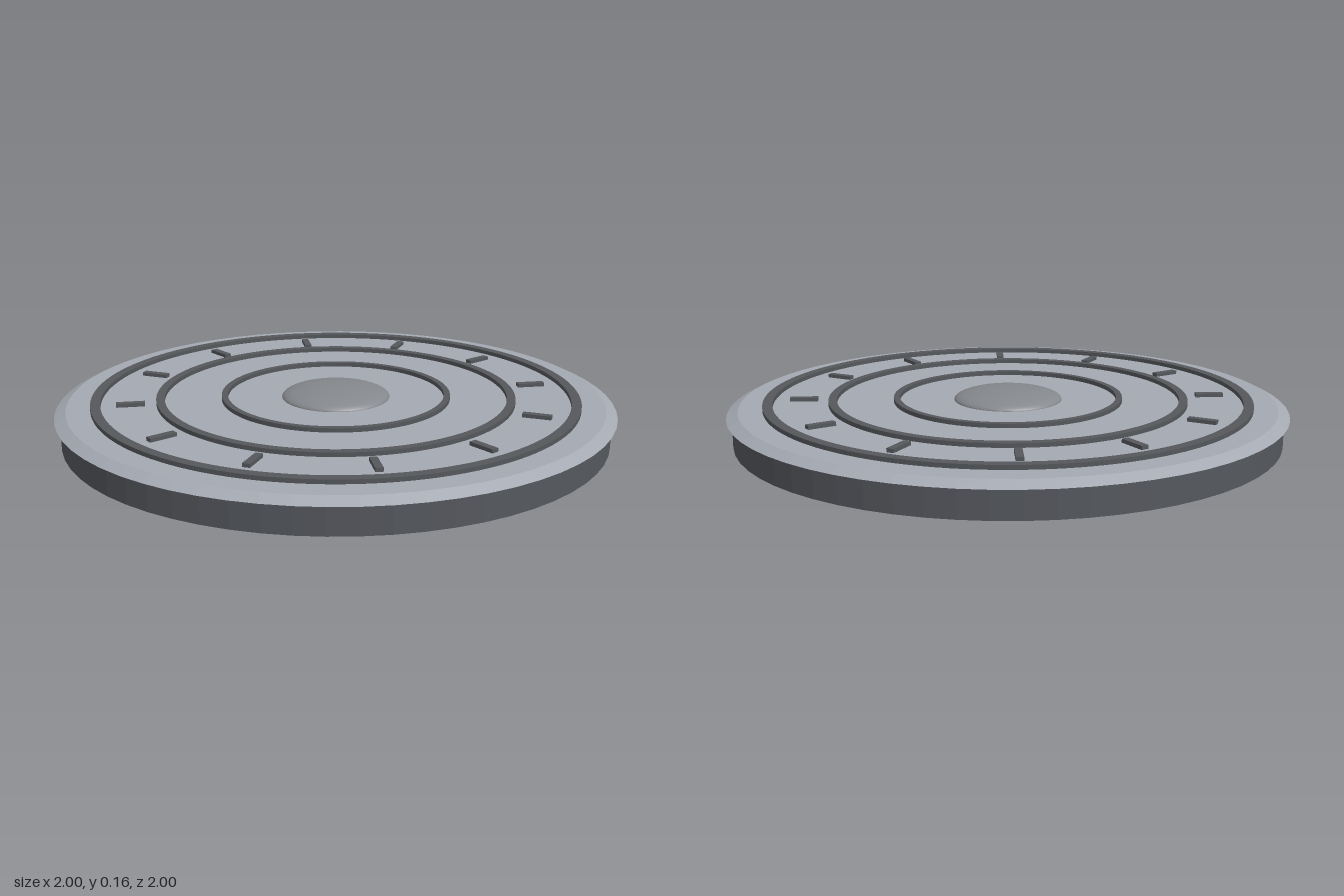
import * as THREE from 'three';

const SEG = 64;

export function createModel() {
  const model = new THREE.Group();
  model.name = 'roundPlatform';

  const dark = new THREE.MeshStandardMaterial({ color: 0x55585e, flatShading: true });
  const light = new THREE.MeshStandardMaterial({ color: 0xa4a9b2, flatShading: true });
  const trim = new THREE.MeshStandardMaterial({ color: 0x55585c });
  const domeGrey = new THREE.MeshStandardMaterial({ color: 0x85888c });

  const add = (name, geometry, material, parent = model) => {
    const mesh = new THREE.Mesh(geometry, material);
    mesh.name = name;
    parent.add(mesh);
    return mesh;
  };

  // Drum-shaped base
  add('base', new THREE.CylinderGeometry(0.98, 0.98, 0.1, SEG), dark).position.y = 0.05;

  // Bevelled top plate, slightly overhanging the base
  add('topPlate', new THREE.CylinderGeometry(0.96, 1, 0.02, SEG), light).position.y = 0.11;

  // Raised flat rings
  const ring = (name, inner, outer) => {
    const shape = new THREE.Shape().absarc(0, 0, outer, 0, Math.PI * 2, false);
    shape.holes.push(new THREE.Path().absarc(0, 0, inner, 0, Math.PI * 2, true));
    const geometry = new THREE.ExtrudeGeometry(shape, {
      depth: 0.02, bevelEnabled: false, curveSegments: SEG,
    });
    geometry.rotateX(-Math.PI / 2);
    add(name, geometry, trim).position.y = 0.115;
  };
  ring('outerRing', 0.84, 0.875);
  ring('middleRing', 0.615, 0.645);
  ring('innerRing', 0.39, 0.412);

  // Twelve radial markers between the outer and middle rings
  const markers = new THREE.Group();
  markers.name = 'markers';
  model.add(markers);
  for (let i = 0; i < 12; i++) {
    const angle = (i * Math.PI) / 6;
    const marker = add('marker', new THREE.BoxGeometry(0.1, 0.02, 0.026), trim, markers);
    marker.position.set(Math.cos(angle) * 0.735, 0.123, -Math.sin(angle) * 0.735);
    marker.rotation.y = angle;
  }

  // Shallow central dome
  const dome = new THREE.SphereGeometry(0.195, 48, 12, 0, Math.PI * 2, 0, Math.PI / 2);
  dome.scale(1, 0.04 / 0.195, 1);
  add('dome', dome, domeGrey).position.y = 0.119;

  return model;
}
